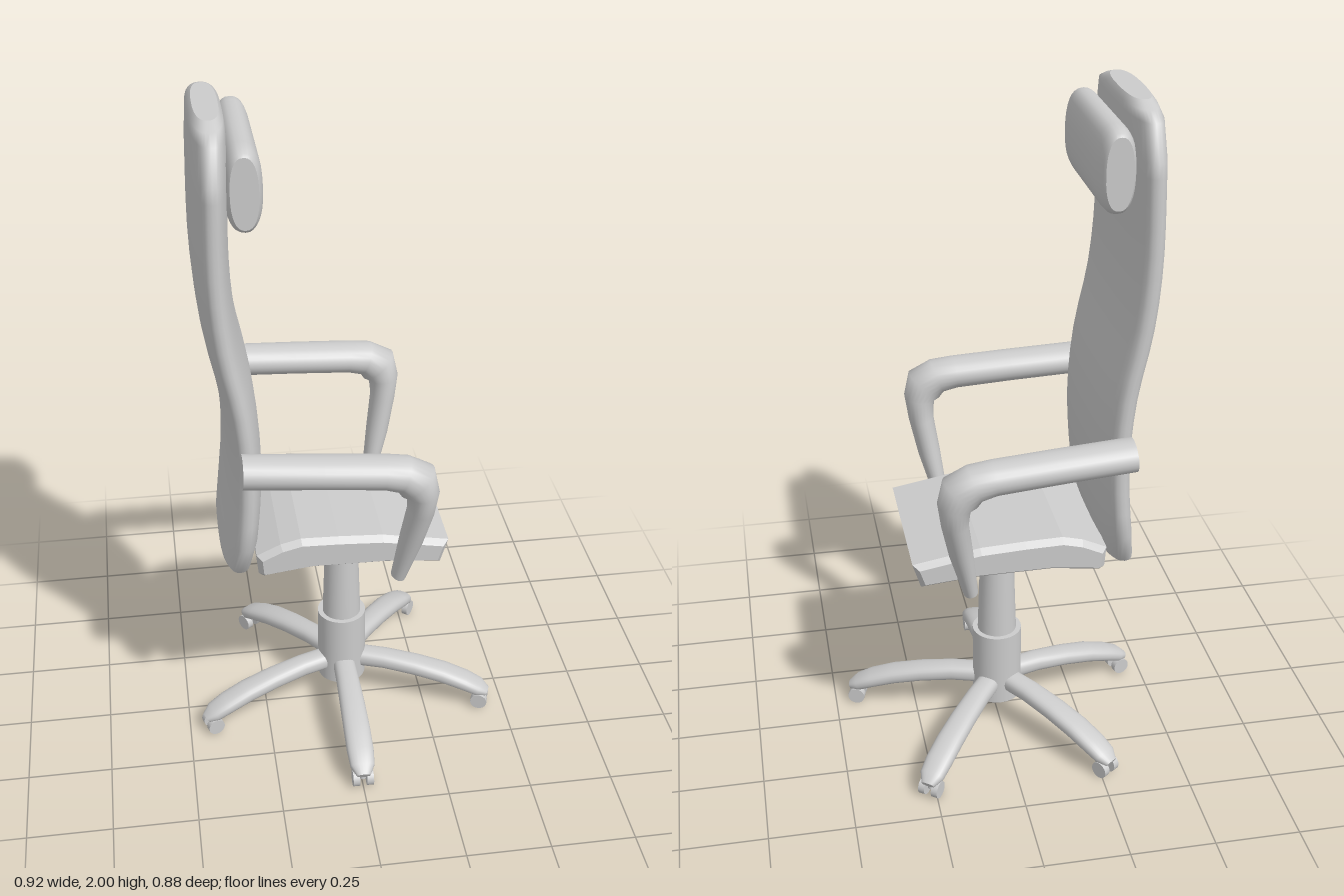
import * as THREE from 'three';

const V = (x, y, z) => new THREE.Vector3(x, y, z);
const material = new THREE.MeshStandardMaterial({ color: 0xcccccc, side: THREE.DoubleSide });

function add(parent, name, geometry) {
  const mesh = new THREE.Mesh(geometry, material);
  mesh.name = name;
  parent.add(mesh);
  return mesh;
}

// Superelliptic ring around c, spanned by half-axes u and v
function ring(c, u, v, power = 2, n = 32) {
  const f = (t) => Math.sign(t) * Math.abs(t) ** (2 / power);
  return Array.from({ length: n }, (_, i) => {
    const a = (i / n) * Math.PI * 2;
    return c.clone().addScaledVector(u, f(Math.cos(a))).addScaledVector(v, f(Math.sin(a)));
  });
}

// Skin over rings, closed with flat end caps; axis u x v must point along the path
function loft(rings) {
  const n = rings[0].length, pos = [], idx = [];
  rings.forEach((r) => r.forEach((p) => pos.push(p.x, p.y, p.z)));
  for (let j = 0; j < rings.length - 1; j++)
    for (let i = 0; i < n; i++) {
      const a = j * n + i, b = j * n + ((i + 1) % n);
      idx.push(a, b, b + n, a, b + n, a + n);
    }
  [rings[0], rings[rings.length - 1]].forEach((r, end) => {
    const s = pos.length / 3;
    const c = r.reduce((m, p) => m.add(p), V(0, 0, 0)).divideScalar(n);
    [...r, c].forEach((p) => pos.push(p.x, p.y, p.z));
    for (let i = 0; i < n; i++) {
      const k = (i + 1) % n;
      if (end) idx.push(s + i, s + k, s + n);
      else idx.push(s + k, s + i, s + n);
    }
  });
  const g = new THREE.BufferGeometry();
  g.setAttribute('position', new THREE.Float32BufferAttribute(pos, 3));
  g.setIndex(idx);
  g.computeVertexNormals();
  return g;
}

// Tube of varying oval section in an upright plane; rows are [x, y, z, half height, half width]
function ovalTube(rows, power) {
  return loft(rows.map((r, i) => {
    const a = rows[Math.max(i - 1, 0)], b = rows[Math.min(i + 1, rows.length - 1)];
    const d = V(b[0] - a[0], b[1] - a[1], 0).normalize();
    return ring(V(r[0], r[1], r[2]), V(-d.y, d.x, 0).multiplyScalar(r[3]), V(0, 0, r[4]), power, 24);
  }));
}

function createModel() {
  const model = new THREE.Group();
  model.name = 'officeChair';
  const chair = new THREE.Group();
  chair.name = 'chair';
  chair.position.z = -0.032;
  model.add(chair);

  // Backrest: curved spine, with narrowing rings at both ends
  const spine = new THREE.SplineCurve([
    [-0.335, 0.64], [-0.31, 0.8], [-0.298, 1.0], [-0.312, 1.2], [-0.35, 1.4],
    [-0.366, 1.6], [-0.362, 1.85], [-0.357, 2.0],
  ].map(([x, y]) => new THREE.Vector2(x, y)));
  const spineX = (y) => {
    let lo = 0, hi = 1;
    for (let i = 0; i < 25; i++) {
      const m = (lo + hi) / 2;
      if (spine.getPoint(m).y < y) lo = m; else hi = m;
    }
    return spine.getPoint(lo).x;
  };
  const backRows = [[0.64, 0.15, 0.032], [0.65, 0.2, 0.042], [0.675, 0.25, 0.047], [0.77, 0.287, 0.05]];
  for (let y = 0.85; y < 1.84; y += 0.07) backRows.push([y, 0.29, 0.05]);
  backRows.push([1.87, 0.288, 0.05], [1.965, 0.254, 0.048], [1.985, 0.2, 0.044], [2.0, 0.15, 0.034]);
  add(chair, 'backrest', loft(backRows.map(([y, w, t]) =>
    ring(V(spineX(y), y, 0), V(0, 0, w), V(t, 0, 0), 2.6, 40))));

  // Headrest cushion
  const headRows = [[-0.226, 0.72], [-0.218, 0.84], [-0.195, 0.96], [-0.16, 1]];
  const headAll = [...headRows, ...headRows.map(([z, s]) => [-z, s]).reverse()];
  add(chair, 'headrest', loft(headAll.map(([z, s]) =>
    ring(V(-0.278, 1.828, z), V(0.052 * s, 0, 0), V(0, 0.118 * (0.4 + 0.6 * s), 0), 2.4))));

  // Seat cushion with bevelled sides
  const seatShape = new THREE.Shape([
    [-0.26, 0.64], [-0.12, 0.658], [0.1, 0.655], [0.262, 0.64], [0.285, 0.715],
    [0.09, 0.75], [-0.04, 0.757], [-0.15, 0.76], [-0.21, 0.745], [-0.28, 0.712], [-0.275, 0.65],
  ].map(([x, y]) => new THREE.Vector2(x, y)));
  const seat = new THREE.ExtrudeGeometry(seatShape, {
    depth: 0.448, bevelThickness: 0.02, bevelSize: 0.015, bevelOffset: -0.015, bevelSegments: 1,
  });
  seat.translate(0, 0, -0.224);
  add(chair, 'seat', seat);

  // Armrests: horizontal pad bending down to a tapering support
  for (const side of [1, -1]) {
    add(chair, side > 0 ? 'rightArmrest' : 'leftArmrest', ovalTube([
      [-0.32, 1.065, 0.323, 0.046, 0.058],
      [-0.1, 1.052, 0.331, 0.046, 0.06],
      [0.07, 1.04, 0.337, 0.047, 0.06],
      [0.125, 1.03, 0.34, 0.052, 0.06],
      [0.164, 1.004, 0.34, 0.062, 0.06],
      [0.181, 0.965, 0.338, 0.046, 0.059],
      [0.178, 0.9, 0.329, 0.038, 0.055],
      [0.158, 0.79, 0.306, 0.034, 0.045],
      [0.127, 0.64, 0.277, 0.021, 0.031],
    ].map(([x, y, z, h, w]) => [x, y, z * side, h, w])));
  }

  // Gas column, its flared seat mount and the hub
  const turned = (pts) => new THREE.LatheGeometry(pts.map(([r, y]) => new THREE.Vector2(r, y)), 32);
  add(chair, 'column', new THREE.CylinderGeometry(0.05, 0.06, 0.3, 32).translate(0, 0.45, 0));
  add(chair, 'seatMount', turned([[0, 0.575], [0.05, 0.577], [0.07, 0.593], [0.084, 0.62], [0.097, 0.656], [0, 0.66]]));
  add(chair, 'hub', new THREE.CylinderGeometry(0.075, 0.075, 0.24, 32).translate(0, 0.2, 0));

  // Five legs, each with a twin-wheel caster
  for (let i = 0; i < 5; i++) {
    const leg = new THREE.Group();
    leg.name = 'leg' + (i + 1);
    leg.rotation.y = -Math.PI / 2 + (i * Math.PI * 2) / 5;
    add(leg, 'legBeam', ovalTube([
      [0.04, 0.142, 0, 0.03, 0.034], [0.14, 0.14, 0, 0.028, 0.036], [0.24, 0.127, 0, 0.027, 0.039],
      [0.33, 0.108, 0, 0.026, 0.041], [0.4, 0.085, 0, 0.024, 0.041],
      [0.445, 0.065, 0, 0.021, 0.037], [0.472, 0.05, 0, 0.012, 0.02],
    ], 2.4));
    add(leg, 'casterStem', new THREE.CylinderGeometry(0.01, 0.01, 0.045, 12).translate(0.45, 0.047, 0));
    for (const s of [1, -1])
      add(leg, 'casterWheel', new THREE.CylinderGeometry(0.026, 0.026, 0.02, 20)
        .rotateX(Math.PI / 2).translate(0.45, 0.026, s * 0.021));
    chair.add(leg);
  }
  return model;
}

export { createModel };
